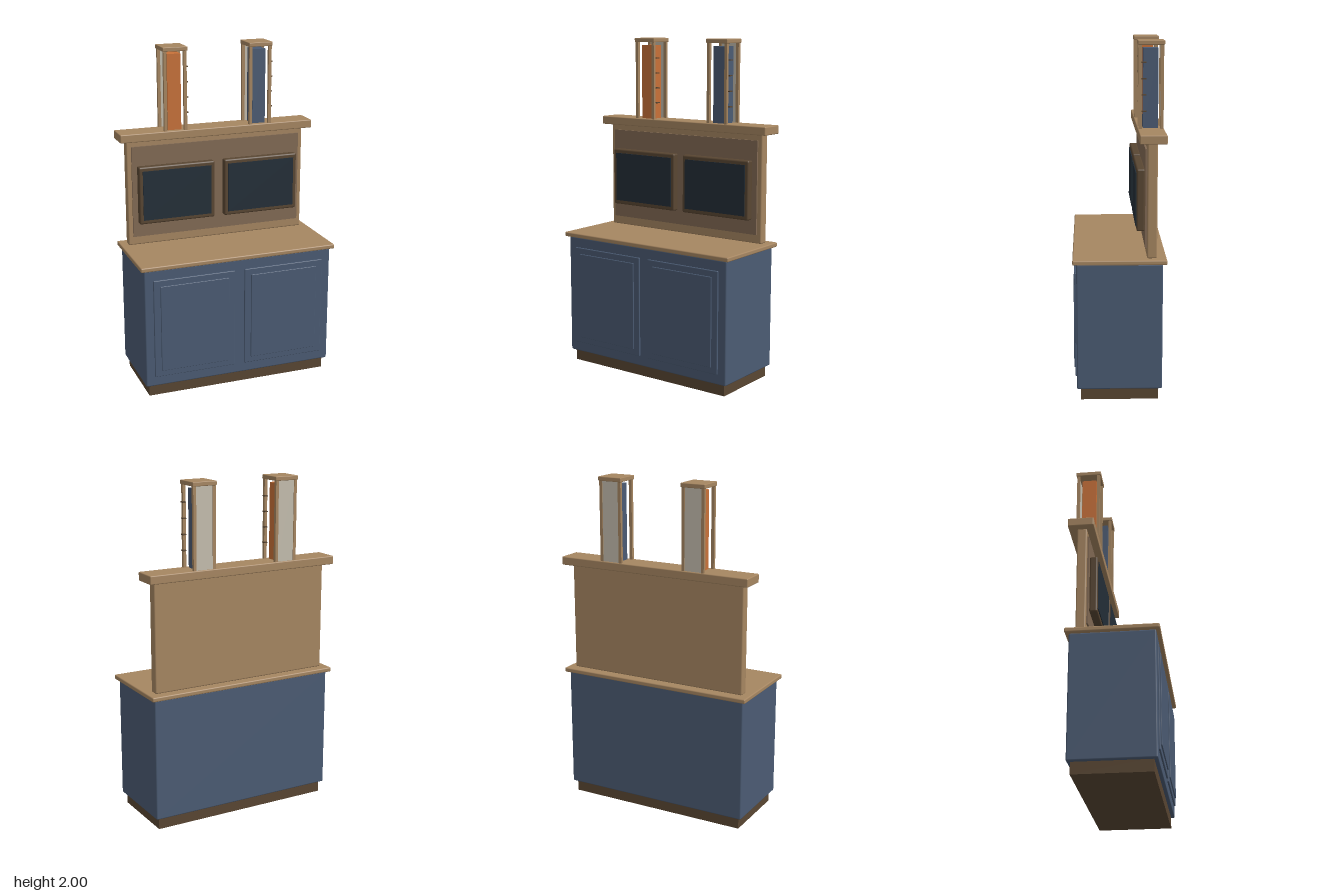
import * as THREE from 'three';
import { RoundedBoxGeometry } from 'three/addons/geometries/RoundedBoxGeometry.js';

const mat = (name, color) => {
  const m = new THREE.MeshStandardMaterial({ color });
  m.name = name;
  return m;
};

export function createModel() {
  const wood = mat('oak wood', 0xa68661);
  const blue = mat('slate blue paint', 0x4b5b73);
  const darkWood = mat('dark wood', 0x594632);
  const backing = mat('brown backing', 0x826a54);
  const glass = mat('dark glass', 0x232e38);
  const orange = mat('orange paint', 0xc87138);
  const pale = mat('pale panel', 0xc4bdae);

  const model = new THREE.Group();
  model.name = 'cabinetWithHutch';

  // Box given by its limits on each axis; r > 0 rounds the edges
  const box = (parent, name, m, [x0, x1], [y0, y1], [z0, z1], r = 0) => {
    const w = x1 - x0, h = y1 - y0, d = z1 - z0;
    const geo = r ? new RoundedBoxGeometry(w, h, d, 2, r) : new THREE.BoxGeometry(w, h, d);
    const mesh = new THREE.Mesh(geo, m);
    mesh.name = name;
    mesh.position.set((x0 + x1) / 2, (y0 + y1) / 2, (z0 + z1) / 2);
    parent.add(mesh);
    return mesh;
  };

  // Base cabinet
  box(model, 'plinth', darkWood, [-0.56, 0.56], [0, 0.075], [-0.218, 0.22]);
  box(model, 'cabinetBody', blue, [-0.583, 0.583], [0.068, 0.793], [-0.238, 0.241], 0.008);
  box(model, 'counterTop', wood, [-0.605, 0.605], [0.793, 0.82], [-0.26, 0.262], 0.007);

  // Hutch wall with its shelf
  box(model, 'hutchWall', wood, [-0.56, 0.56], [0.82, 1.465], [-0.206, -0.15], 0.008);
  box(model, 'hutchBacking', backing, [-0.532, 0.532], [0.873, 1.425], [-0.155, -0.14]);
  box(model, 'topShelf', wood, [-0.605, 0.605], [1.46, 1.51], [-0.255, -0.106], 0.006);

  for (const [side, s] of [['left', 1], ['right', -1]]) {
    const mid = 0.28 * s;
    const span = (half, c = mid) => [c - half, c + half];

    // Cabinet door with a raised field
    box(model, side + 'Door', blue, span(0.25), [0.128, 0.73], [0.235, 0.25], 0.004);
    box(model, side + 'DoorField', blue, span(0.21), [0.165, 0.693], [0.245, 0.257], 0.003);

    // Framed screen
    const c = 0.267 * s;
    box(model, side + 'ScreenFrame', darkWood, span(0.236, c), [0.96, 1.31], [-0.14, -0.094], 0.01);
    box(model, side + 'ScreenGlass', glass, span(0.213, c), [0.985, 1.285], [-0.097, -0.089]);

    // Open tower: four posts, cap, coloured core, pale back and small pegs
    const tower = new THREE.Group();
    tower.name = side + 'Tower';
    tower.position.set(0.266 * s, 0, -0.181);
    model.add(tower);
    for (const px of [-1, 1]) for (const pz of [-1, 1]) {
      box(tower, 'post', wood, span(0.009, 0.061 * px), [1.505, 1.98], span(0.009, 0.061 * pz));
    }
    box(tower, 'cap', wood, [-0.075, 0.075], [1.975, 2], [-0.075, 0.075], 0.004);
    box(tower, 'core', s > 0 ? blue : orange, [-0.041, 0.041], [1.505, 1.957], [-0.041, 0.044]);
    box(tower, 'backPanel', pale, [-0.054, 0.054], [1.505, 1.977], [-0.066, -0.058]);
    for (let i = 0; i < 4; i++) {
      const y = 1.61 + 0.09 * i;
      box(tower, 'peg', darkWood, [0.062, 0.083], [y - 0.003, y + 0.003], [0.028, 0.054]);
    }
  }
  return model;
}
